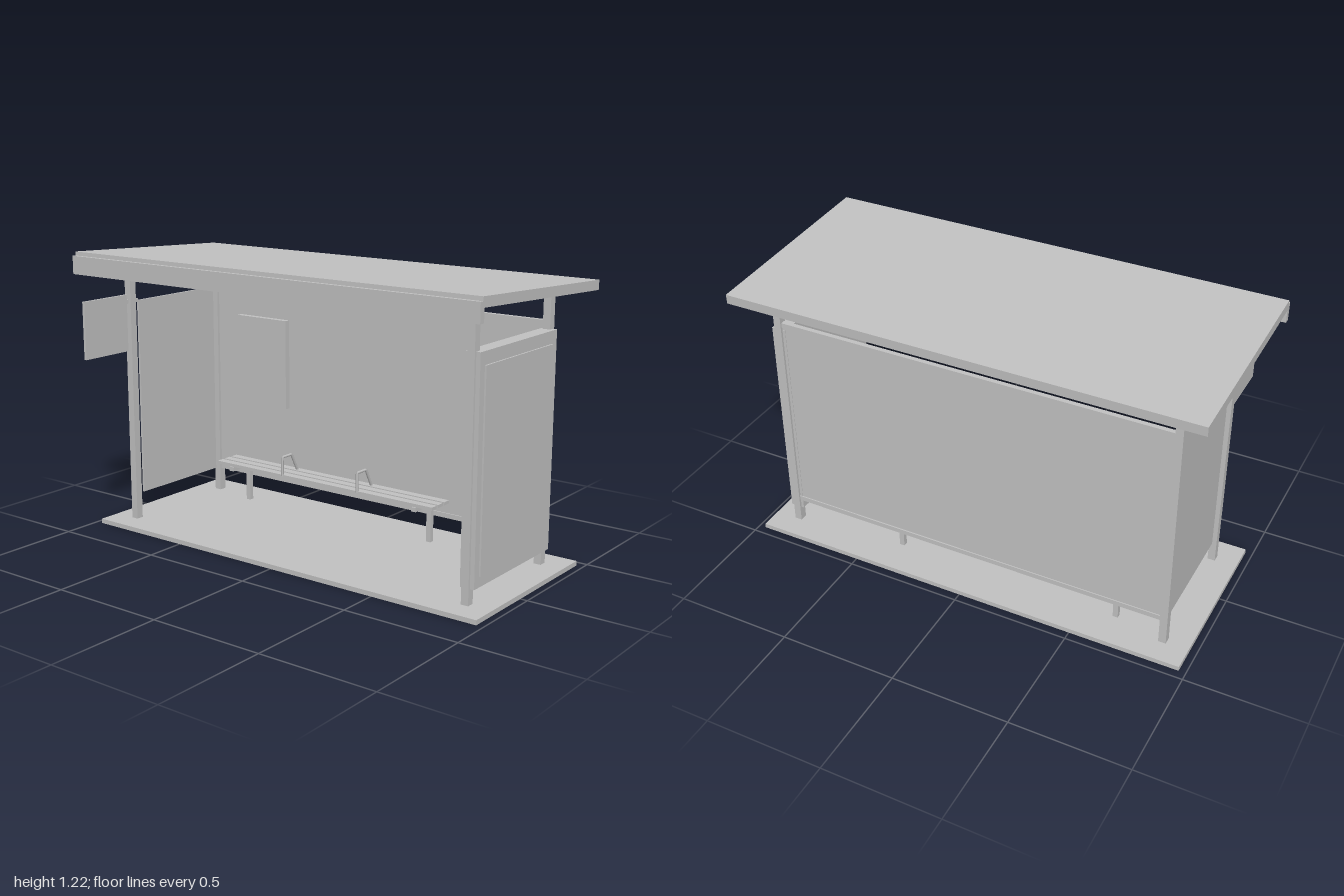
import * as THREE from 'three';

export function createModel() {
  const model = new THREE.Group();
  model.name = 'busShelter';
  const grey = new THREE.MeshStandardMaterial({ color: 0xc2c2c2 });
  grey.name = 'light grey';

  const add = (name, geometry, parent = model) => {
    const mesh = new THREE.Mesh(geometry, grey);
    mesh.name = name;
    parent.add(mesh);
    return mesh;
  };
  // Box given by its extents along each axis
  const box = (name, [x0, x1], [y0, y1], [z0, z1], parent) => {
    const mesh = add(name, new THREE.BoxGeometry(x1 - x0, y1 - y0, z1 - z0), parent);
    mesh.position.set((x0 + x1) / 2, (y0 + y1) / 2, (z0 + z1) / 2);
    return mesh;
  };

  // Ground slab
  box('baseSlab', [-0.97, 0.97], [0, 0.02], [-0.463, 0.327]);

  // Four posts
  for (const side of [-1, 1]) {
    const x = side * 0.86;
    box('frontPost', [x - 0.016, x + 0.016], [0.02, 1.155], [0.197, 0.23]);
    box('backPost', [x - 0.016, x + 0.016], [0.02, 1.145], [-0.366, -0.332]);
  }

  // Sloping roof, higher at the front, with fascia and drip strip
  const roof = add('roof', new THREE.BoxGeometry(2, 0.04, 0.88));
  roof.position.set(0, 1.178, -0.046);
  roof.rotation.x = -0.0515;
  box('fascia', [-1, 1], [1.126, 1.204], [0.383, 0.409]);
  box('fasciaStrip', [-0.95, 0.95], [1.122, 1.132], [0.367, 0.377]);

  // Ceiling light plate and rounded lamp
  box('ceilingLight', [-0.75, 0.75], [1.148, 1.156], [-0.135, 0.045]);
  const lampProfile = [
    [0, 1.08], [0.026, 1.08], [0.034, 1.085], [0.039, 1.095],
    [0.042, 1.115], [0.042, 1.148], [0, 1.148],
  ].map(([r, y]) => new THREE.Vector2(r, y));
  add('ceilingLamp', new THREE.LatheGeometry(lampProfile, 32)).position.set(0.677, 0, 0.113);

  // Back wall with top and bottom rails
  box('backPanel', [-0.845, 0.845], [0.13, 1.015], [-0.354, -0.344]);
  for (const y of [0.126, 1.0]) {
    box('backRail', [-0.845, 0.845], [y, y + 0.021], [-0.359, -0.339]);
  }

  // Thin side wall
  box('sidePanel', [-0.865, -0.855], [0.13, 0.998], [-0.315, 0.17]);

  // Thick display case on the other side, with a raised pane
  box('displayCase', [0.832, 0.894], [0.085, 0.987], [-0.356, 0.22]);
  box('displayPane', [0.894, 0.901], [0.13, 0.935], [-0.32, 0.188]);

  // Flag sign on its bracket
  box('flagSign', [-0.868, -0.856], [0.783, 1.03], [0.24, 0.487]);
  box('signBracket', [-0.867, -0.857], [0.99, 1.007], [0.17, 0.245]);

  // Notice board on the back wall
  box('noticeBoard', [-0.709, -0.43], [0.478, 0.882], [-0.345, -0.318]);

  // Bench: slats on cantilever arms, rear legs and bent armrests
  const bench = new THREE.Group();
  bench.name = 'bench';
  model.add(bench);
  for (let i = 0; i < 3; i++) {
    const z = -0.2 - i * 0.047;
    box('seatSlat', [-0.725, 0.447], [0.203, 0.217], [z - 0.018, z + 0.018], bench);
  }
  for (const x of [-0.637, 0.36]) {
    box('benchLeg', [x - 0.011, x + 0.011], [0.02, 0.19], [-0.314, -0.293], bench);
    box('benchArm', [x - 0.011, x + 0.011], [0.184, 0.203], [-0.314, -0.175], bench);
  }
  box('benchBeam', [-0.637, 0.36], [0.19, 0.202], [-0.309, -0.297], bench);

  const restPoints = [[0.21, -0.185], [0.297, -0.185], [0.297, -0.25], [0.21, -0.295]];
  for (const x of [-0.345, 0.064]) {
    const path = new THREE.CurvePath();
    const points = restPoints.map(([y, z]) => new THREE.Vector3(x, y, z));
    for (let i = 1; i < points.length; i++) path.add(new THREE.LineCurve3(points[i - 1], points[i]));
    add('armrest', new THREE.TubeGeometry(path, 36, 0.006, 8), bench);
  }

  return model;
}
